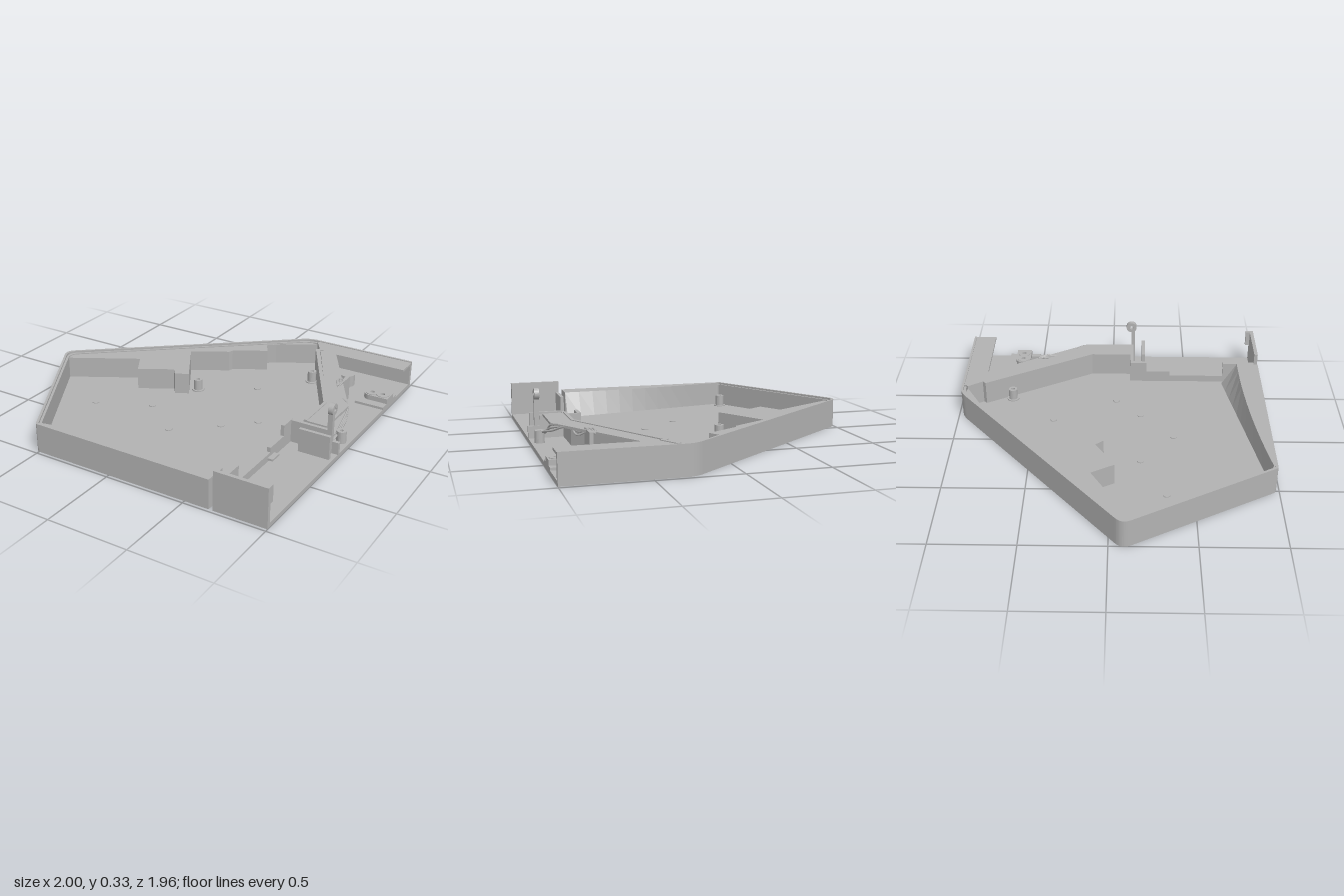
import * as THREE from 'three';

const grey = new THREE.MeshStandardMaterial({ color: 0xb2b2b2 });
grey.name = 'plain grey';

// Closed shape from [x, z, cornerRadius?] points
function outline(points) {
  const s = new THREE.Shape();
  const n = points.length;
  points.forEach(([x, z, r = 0], i) => {
    const p = new THREE.Vector2(x, -z);
    const toward = (q) => new THREE.Vector2(q[0], -q[1]).sub(p).setLength(r).add(p);
    const a = r ? toward(points[(i + n - 1) % n]) : p;
    if (i === 0) s.moveTo(a.x, a.y); else s.lineTo(a.x, a.y);
    if (r) {
      const b = toward(points[(i + 1) % n]);
      s.quadraticCurveTo(p.x, p.y, b.x, b.y);
    }
  });
  s.closePath();
  return s;
}

function circle(x, z, r) {
  const p = new THREE.Path();
  p.absarc(x, -z, r, 0, Math.PI * 2, true);
  return p;
}

export function createModel() {
  const model = new THREE.Group();
  model.name = 'openCaseHalf';

  const add = (name, geometry, material = grey) => {
    const m = new THREE.Mesh(geometry, material);
    m.name = name;
    model.add(m);
    return m;
  };
  // Upright prism over a plan outline, from y0 to y1
  const prism = (name, shape, y0, y1) => {
    const g = new THREE.ExtrudeGeometry(shape, { depth: y1 - y0, bevelEnabled: false, curveSegments: 10 });
    g.rotateX(-Math.PI / 2).translate(0, y0, 0);
    return add(name, g);
  };
  // Box given by its extents
  const box = (name, x0, x1, y0, y1, z0, z1) => {
    const g = new THREE.BoxGeometry(x1 - x0, y1 - y0, z1 - z0);
    g.translate((x0 + x1) / 2, (y0 + y1) / 2, (z0 + z1) / 2);
    return add(name, g);
  };
  // Upright disc or hollow boss
  const boss = (name, x, z, r, y0, y1, hole = 0) => {
    const s = new THREE.Shape();
    s.absarc(x, -z, r, 0, Math.PI * 2, false);
    if (hole) s.holes.push(circle(x, z, hole));
    return prism(name, s, y0, y1);
  };

  const F = 0.025; // floor thickness
  const TOP = 0.18;

  // Floor plate with the front slot and two through holes
  const floor = outline([[1, -0.98], [0.27, -0.98, 0.06], [-1.02, 0.075, 0.06], [-0.51, 0.98, 0.015],
    [0.65, 0.98], [0.65, 0.86], [0.675, 0.86], [0.675, 0.98], [1, 0.98]]);
  const bores = [[0.88, -0.63], [0.95, -0.63]];
  bores.forEach(([x, z]) => floor.holes.push(circle(x, z, 0.014)));
  prism('floor', floor, 0, F);

  // Outer wall: full height outside, a slightly lower ledge inside
  const wall = (name, inset0, inset1, y1) => {
    const run = (t) => [[1, -0.98 + t], [0.27 + t * 0.36, -0.98 + t, 0.06],
      [-1.02 + t * 1.3, 0.075 + t * 0.2, 0.06], [-0.51 + t * 0.58, 0.98 - t, 0.01], [0.65, 0.98 - t]];
    prism(name, outline([...run(inset0), ...run(inset1).reverse()]), F, y1);
  };
  wall('outerWall', 0, 0.014, TOP);
  wall('wallLedge', 0.014, 0.028, 0.168);

  // Thick front wall whose inner face leans from a curved top to a straight foot
  const N = 12, pos = [], idx = [];
  for (let i = 0; i <= N; i++) {
    const u = i / N, x = -0.49 + 1.14 * u;
    const zTop = 0.955 - 0.115 * (1 - (1 - u) ** 2);
    const zFoot = 0.955 - 0.21 * u;
    pos.push(x, TOP, 0.97, x, TOP, zTop, x, F, zFoot);
    if (i < N) {
      const a = i * 3, b = a + 3;
      idx.push(a, b, a + 1, b, b + 1, a + 1, a + 1, b + 1, a + 2, b + 1, b + 2, a + 2);
    }
  }
  const lean = new THREE.BufferGeometry();
  lean.setAttribute('position', new THREE.Float32BufferAttribute(pos, 3));
  lean.setIndex(idx);
  const leanFlat = lean.toNonIndexed();
  leanFlat.computeVertexNormals();
  add('frontWallLiner', leanFlat);
  box('frontWallEnd', 0.64, 0.65, F, TOP, 0.84, 0.975);

  // Stepped block along the slanted wall
  prism('steppedBlock', outline([[0.34, -0.94], [0.04, -0.77], [0.1, -0.67], [-0.1, -0.55],
    [-0.11, -0.52], [-0.33, -0.39], [-0.15, -0.08], [-0.23, -0.04], [-0.27, -0.09], [-0.47, 0.03],
    [-0.55, -0.11], [-0.97, 0.13], [-0.98, 0.08], [0.27, -0.955]]), F, 0.162);

  // Diagonal divider and the flat shelf it carries
  prism('divider', outline([[0.34, -0.94], [0.4, -0.85], [0.38, -0.83], [0.765, -0.14], [0.765, 0.12],
    [0.785, 0.12], [0.785, -0.145], [0.41, -0.83], [0.43, -0.84], [0.36, -0.96]]), F, TOP);
  prism('shelf', outline([[1, -0.967], [0.36, -0.967], [0.41, -0.84], [0.78, -0.15], [0.78, 0.12],
    [0.91, 0.12], [0.91, -0.18], [0.53, -0.83], [1, -0.83]]), 0.16, 0.175);

  // Right compartment: stepped side wall, cross wall, tall front plate
  [[0.12, 0.23, 0.168], [0.23, 0.39, 0.1], [0.39, 0.75, 0.07], [0.75, 0.96, 0.165]]
    .forEach(([z0, z1, h]) => box('compartmentWall', 0.675, 0.697, F, h, z0, z1));
  box('crossWall', 0.675, 0.93, F, 0.165, 0.12, 0.142);
  box('crossWallLow', 0.93, 1, F, 0.1, 0.12, 0.142);
  box('frontPlate', 0.675, 1, F, 0.24, 0.957, 0.98);
  box('plateReturn', 0.978, 1, 0.14, 0.24, 0.93, 0.957);
  box('innerRib', 0.785, 0.98, F, 0.17, 0.2, 0.222);
  [[0.345, 0.425], [0.74, 0.82]].forEach(([z0, z1]) => box('sideTab', 0.697, 0.73, 0.038, 0.05, z0, z1));

  // Upright post with a ring at its head
  box('hookPost', 0.93, 0.96, F, 0.272, 0.127, 0.153);
  const ring = new THREE.Shape();
  ring.absarc(0, 0, 0.035, 0, Math.PI * 2, false);
  ring.holes.push(circle(0, 0, 0.013));
  const ringGeo = new THREE.ExtrudeGeometry(ring, { depth: 0.03, bevelEnabled: false, curveSegments: 14 });
  ringGeo.rotateY(Math.PI / 2).translate(0.93, 0.298, 0.128);
  add('hookRing', ringGeo);

  // Screw bosses, raised dots and locating pins
  [[-0.48, 0.88], [-0.13, -0.16], [0.44, -0.66]].forEach(([x, z]) => {
    boss('screwBoss', x, z, 0.028, F, 0.1, 0.012);
    boss('bossBase', x, z, 0.04, F, 0.032);
  });
  [[0.19, -0.375], [0.42, 0.03], [0.25, 0.19], [-0.25, 0.185], [-0.58, 0.335], [0.01, 0.395]]
    .forEach(([x, z]) => boss('floorDot', x, z, 0.022, F, 0.03));
  boss('largePin', 0.65, -0.75, 0.052, F, 0.1);
  boss('smallPin', 0.95, -0.01, 0.03, F, 0.1, 0.011);

  // Mounting pad with a raised slot-shaped block
  const pad = outline([[0.81, -0.73], [0.81, -0.52], [1, -0.52], [1, -0.73]]);
  bores.forEach(([x, z]) => pad.holes.push(circle(x, z, 0.014)));
  prism('mountPad', pad, F, 0.04);
  const slot = new THREE.Shape();
  slot.absarc(0.88, 0.63, 0.05, Math.PI / 2, Math.PI * 1.5, false);
  slot.lineTo(1, 0.58);
  slot.lineTo(1, 0.68);
  bores.forEach(([x, z]) => slot.holes.push(circle(x, z, 0.014)));
  prism('slotBlock', slot, 0.04, 0.072);
  bores.forEach(([x, z]) => boss('boreCollar', x, z, 0.042, 0.072, 0.076, 0.014));

  // Small bracket and loose cables beside the shelf
  box('cableBracket', 0.73, 0.752, F, TOP, -0.555, -0.4);
  [0, 1, 2].forEach((k) => {
    const s = (k - 1) * 0.018;
    const path = new THREE.CatmullRomCurve3([
      [0.71, 0.165, -0.53], [0.73 + s, 0.182, -0.45], [0.77 - s, 0.15 + s, -0.37],
      [0.83 + s, 0.165, -0.28], [0.9, 0.15 - s, -0.2], [0.925 + s / 2, 0.1, -0.06], [0.925, 0.05, 0.08],
    ].map((p) => new THREE.Vector3(...p)));
    add('cable', new THREE.TubeGeometry(path, 28, 0.006, 6));
  });

  return model;
}
